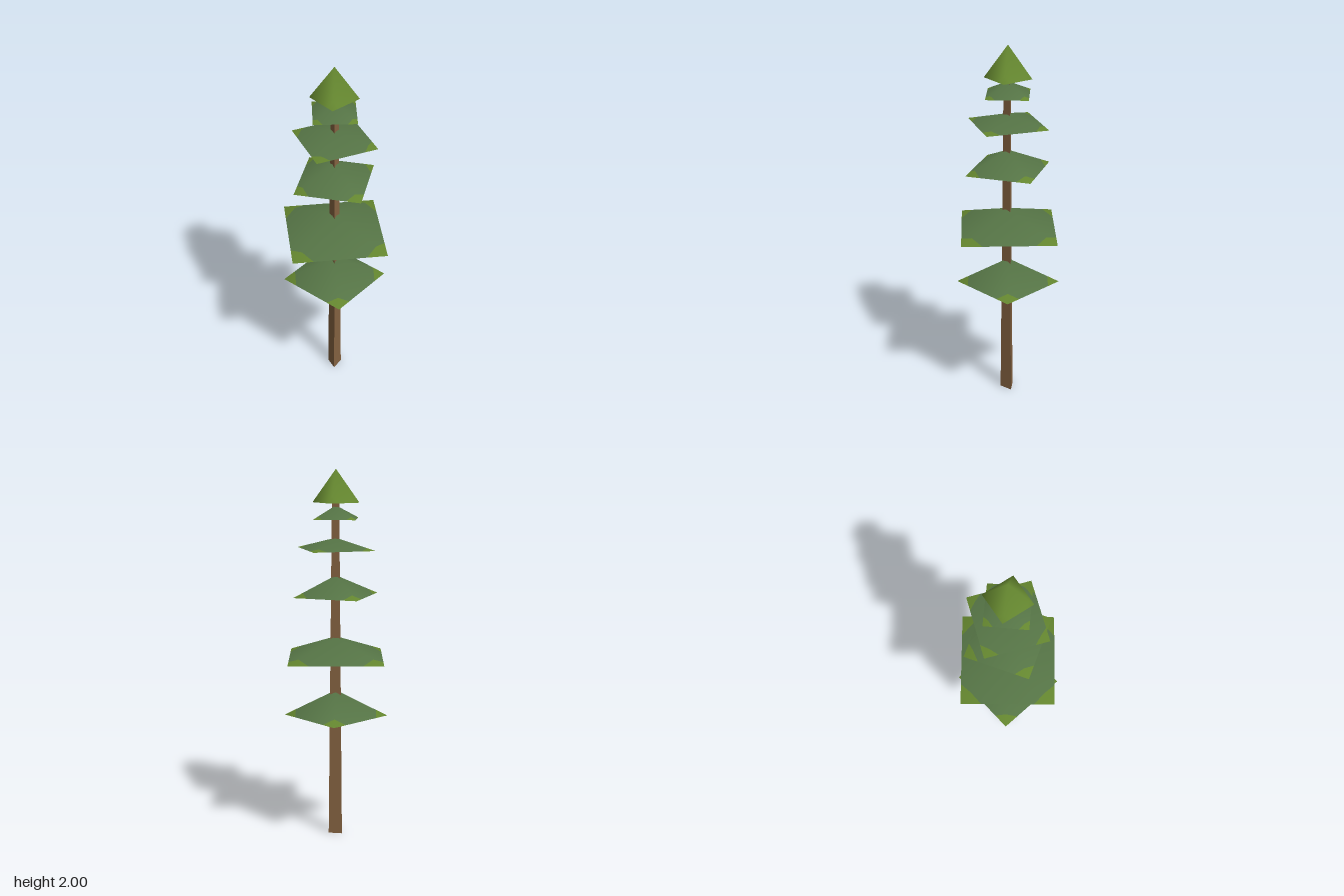
import * as THREE from 'three';

const bark = new THREE.MeshStandardMaterial({ color: 0x856341 });
bark.name = 'bark brown';
const darkGreen = new THREE.MeshStandardMaterial({ color: 0x567546, side: THREE.DoubleSide });
darkGreen.name = 'dark needle green';
const lightGreen = new THREE.MeshStandardMaterial({ color: 0x64862f, side: THREE.DoubleSide });
lightGreen.name = 'light needle green';

// Open four-sided pyramid with smooth normals; (x, z) is its first corner.
// Group 0 is the middle of each face, group 1 the corner tips of size `tip`.
function branchGeometry(x, z, base, top, tip) {
  const h = top - base, r = Math.hypot(x, z);
  const apex = { p: new THREE.Vector3(0, top, 0), n: new THREE.Vector3(0, 1, 0) };
  const corners = [[x, z], [-z, x], [-x, -z], [z, -x]].map(([cx, cz]) => ({
    p: new THREE.Vector3(cx, base, cz),
    n: new THREE.Vector3((cx / r) * h, r, (cz / r) * h).normalize(),
  }));
  const mix = (a, b, t) => ({
    p: a.p.clone().lerp(b.p, t),
    n: a.n.clone().lerp(b.n, t).normalize(),
  });
  const middle = [], tips = [];
  for (let k = 0; k < 4; k++) {
    const a = corners[(k + 1) % 4], b = corners[k];
    const ridgeA = mix(a, apex, tip), ridgeB = mix(b, apex, tip);
    const edgeA = mix(a, b, tip), edgeB = mix(b, a, tip);
    middle.push(apex, ridgeA, edgeA, apex, edgeA, edgeB, apex, edgeB, ridgeB);
    tips.push(ridgeA, a, edgeA, edgeB, b, ridgeB);
  }
  const all = [...middle, ...tips];
  const geometry = new THREE.BufferGeometry();
  geometry.setAttribute('position', new THREE.Float32BufferAttribute(all.flatMap((v) => v.p.toArray()), 3));
  geometry.setAttribute('normal', new THREE.Float32BufferAttribute(all.flatMap((v) => v.n.toArray()), 3));
  geometry.addGroup(0, middle.length, 0);
  geometry.addGroup(middle.length, tips.length, 1);
  return geometry;
}

export function createModel() {
  const tree = new THREE.Group();
  tree.name = 'tree';

  // Tapered three-sided trunk with one edge facing +x
  const height = 1.9;
  const trunkGeometry = new THREE.CylinderGeometry(0.022, 0.043, height, 3, 1, false, Math.PI / 2).toNonIndexed();
  trunkGeometry.computeVertexNormals();
  const trunk = new THREE.Mesh(trunkGeometry, bark);
  trunk.name = 'trunk';
  trunk.position.y = height / 2;
  tree.add(trunk);

  // Branch tiers, lowest first: corner x, corner z, base height, top height
  const tiers = [
    [0.258, 0.11, 0.672, 0.812],
    [0.325, -0.145, 0.995, 1.11],
    [0.249, -0.02, 1.332, 1.44],
    [0.181, -0.153, 1.58, 1.64],
    [0.149, -0.052, 1.74, 1.81],
  ];
  tiers.forEach(([x, z, base, top], i) => {
    const tier = new THREE.Mesh(branchGeometry(x, z, base, top, 0.22), [darkGreen, lightGreen]);
    tier.name = `branchTier${i + 1}`;
    tree.add(tier);
  });

  // Steeper light crown
  const crown = new THREE.Mesh(branchGeometry(0.107, 0.067, 1.825, 2, 0.22), [lightGreen, lightGreen]);
  crown.name = 'crown';
  tree.add(crown);

  return tree;
}
